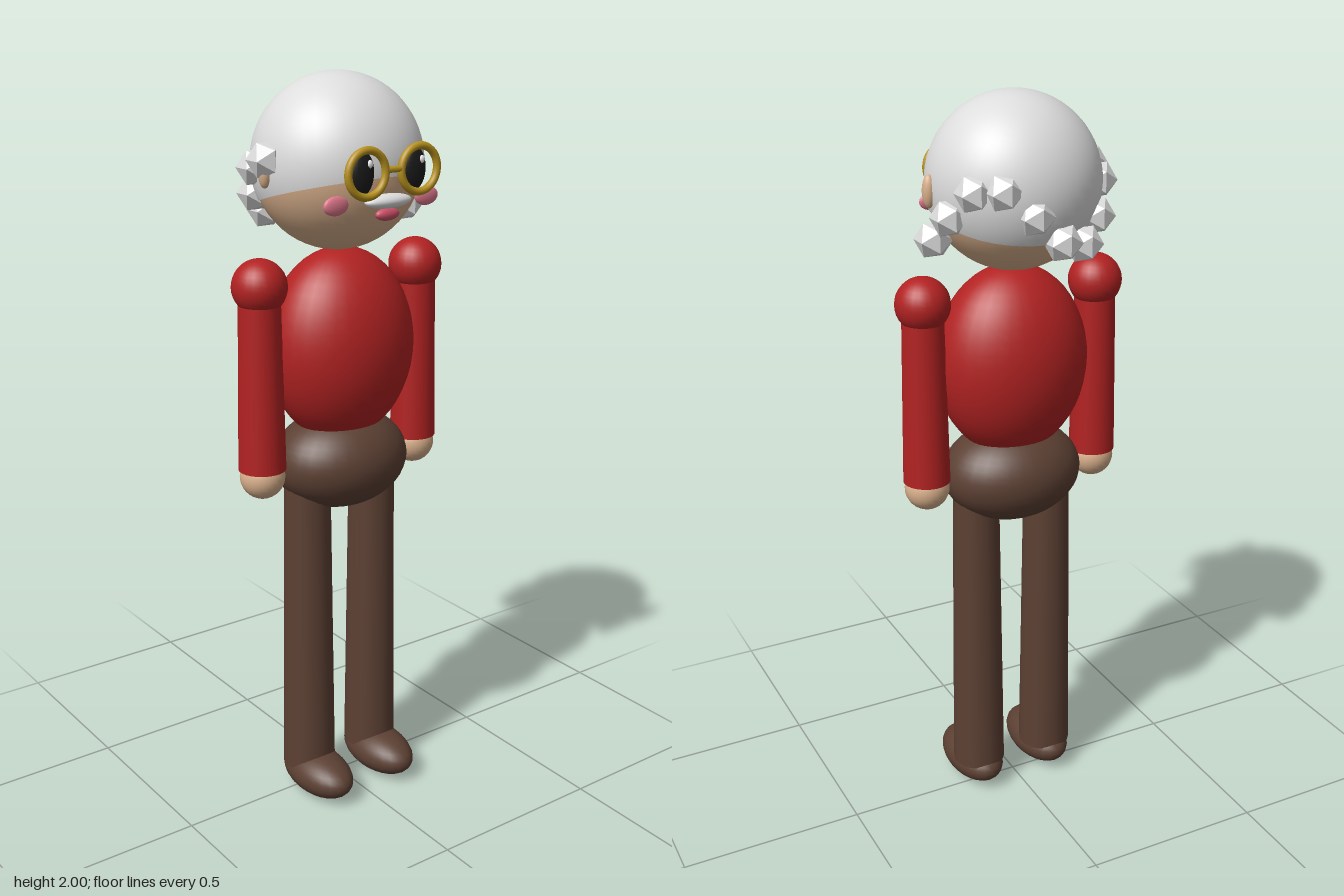
import * as THREE from 'three';

const mat = (name, color, side = THREE.FrontSide) => {
  const m = new THREE.MeshStandardMaterial({ color, side });
  m.name = name;
  return m;
};

export function createModel() {
  const root = new THREE.Group();
  root.name = 'oldMan';

  const red = mat('sweaterRed', 0xb22222);
  const brown = mat('trouserBrown', 0x5c4033);
  const skin = mat('skin', 0xd9b08c);
  const white = mat('hairWhite', 0xdddddd, THREE.DoubleSide);
  const gold = mat('frameGold', 0xb8921e);
  const black = mat('eyeBlack', 0x1a1a1a);
  const shine = mat('eyeShine', 0xffffff);
  const pink = mat('cheekPink', 0xe0788c);
  const rose = mat('mouthRose', 0xcc5068);

  const add = (name, geometry, material, x, y, z, parent = root) => {
    const mesh = new THREE.Mesh(geometry, material);
    mesh.name = name;
    mesh.position.set(x, y, z);
    parent.add(mesh);
    return mesh;
  };
  const ball = (name, material, [x, y, z], [rx, ry, rz], segments = 32) => {
    const mesh = add(name, new THREE.SphereGeometry(1, segments, segments * 0.75), material, x, y, z);
    mesh.scale.set(rx, ry, rz);
    return mesh;
  };

  // Body
  ball('torso', red, [0, 1.3, 0.008], [0.21, 0.26, 0.168]);
  ball('hips', brown, [0, 0.985, 0.008], [0.195, 0.135, 0.157]);

  // Head with a tilted hair cap, lower at the back
  const head = new THREE.Group();
  head.name = 'head';
  head.position.set(0, 1.775, -0.005);
  head.scale.z = 0.955;
  root.add(head);
  add('skull', new THREE.SphereGeometry(0.222, 40, 30), skin, 0, 0, 0, head);
  const cap = add('hairCap',
    new THREE.SphereGeometry(0.226, 40, 24, 0, Math.PI * 2, 0, Math.PI * 0.6), white, 0, 0, 0, head);
  cap.rotation.x = -0.25;

  // Wavy band of faceted curls around the back of the head
  const curl = new THREE.IcosahedronGeometry(0.05, 0);
  for (let i = 0; i < 10; i++) {
    const a = (i / 9) * Math.PI;
    add('hairCurl', curl, white,
      0.22 * Math.cos(a), 1.718 + 0.08 * Math.sin(i - 1), -0.2 * Math.sin(a));
  }

  // Mirrored parts
  for (const s of [1, -1]) {
    const side = s > 0 ? 'left' : 'right';

    // Arm
    ball(side + 'Shoulder', red, [s * 0.25, 1.485, 0.008], [0.072, 0.072, 0.072], 24);
    add(side + 'Arm', new THREE.CylinderGeometry(0.054, 0.063, 0.48, 24), red, s * 0.251, 1.24, 0.008);
    ball(side + 'Hand', skin, [s * 0.251, 0.98, 0.008], [0.06, 0.06, 0.06], 24);

    // Leg
    add(side + 'Leg', new THREE.CylinderGeometry(0.063, 0.074, 0.87, 24), brown, s * 0.108, 0.515, 0.007);
    ball(side + 'Foot', brown, [s * 0.108, 0.063, 0.052], [0.077, 0.061, 0.133], 24);

    // Face
    ball(side + 'Ear', skin, [s * 0.227, 1.77, 0.005], [0.017, 0.042, 0.018], 16);
    ball(side + 'Eye', black, [s * 0.08, 1.775, 0.205], [0.036, 0.055, 0.018], 20);
    ball(side + 'EyeShine', shine, [s * 0.08 + 0.015, 1.798, 0.219], [0.008, 0.01, 0.006], 12);
    add(side + 'GlassesRim', new THREE.TorusGeometry(0.056, 0.01, 10, 36), gold, s * 0.08, 1.777, 0.228);
    ball(side + 'Cheek', pink, [s * 0.14, 1.7, 0.183], [0.037, 0.024, 0.011], 20);
  }

  // Glasses bridge, moustache and mouth
  const bridge = add('glassesBridge', new THREE.CylinderGeometry(0.008, 0.008, 0.05, 10), gold, 0, 1.782, 0.229);
  bridge.rotation.z = Math.PI / 2;
  ball('moustache', white, [0, 1.703, 0.208], [0.07, 0.018, 0.026], 24);
  ball('mouth', rose, [0, 1.67, 0.205], [0.036, 0.016, 0.014], 20);

  return root;
}
